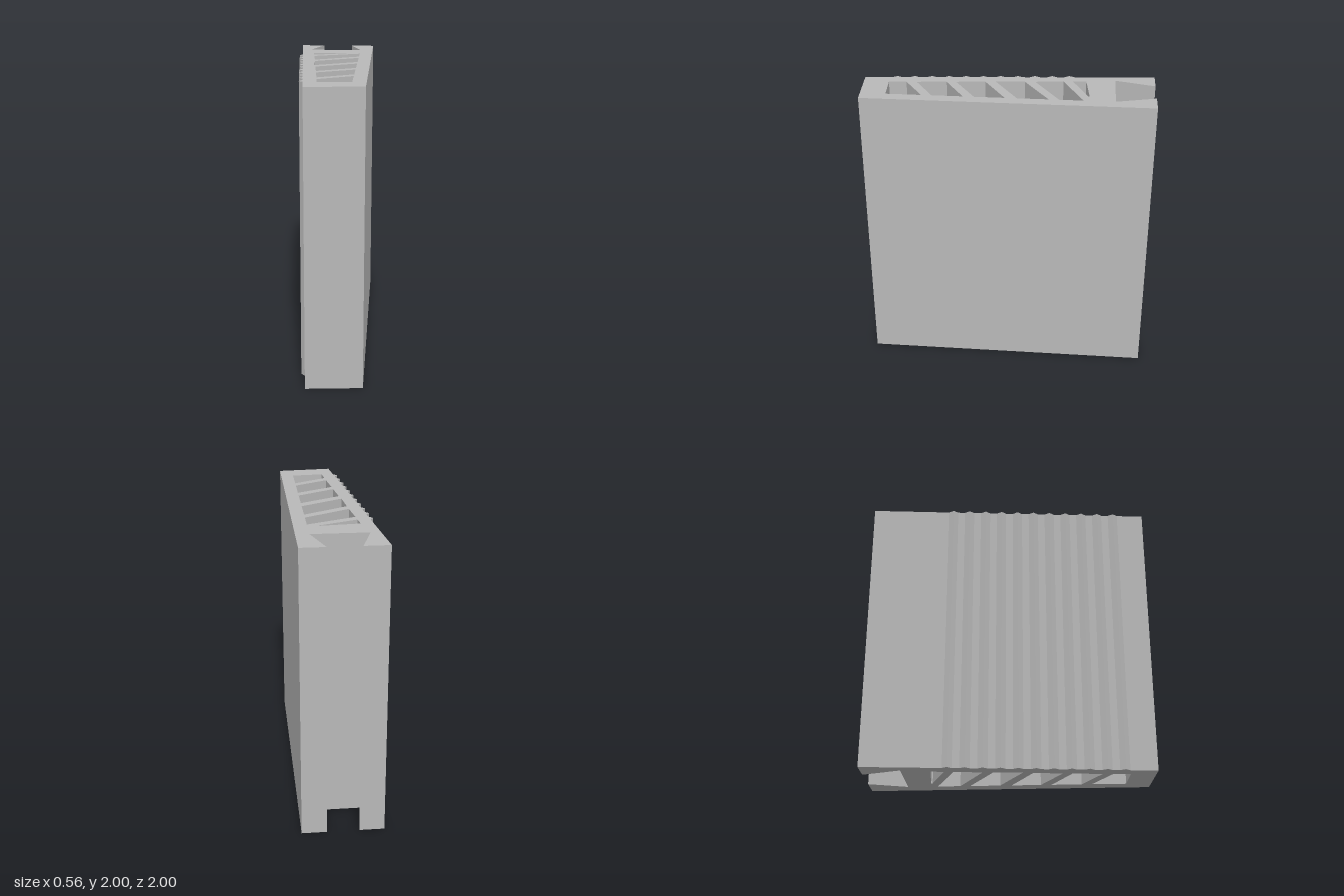
import * as THREE from 'three';

// Plan coordinates are [x, z]; shape y is -z so the extrusion can be stood upright.
const toPoints = (pts) => pts.map(([x, z]) => new THREE.Vector2(x, -z));

export function createModel() {
  const group = new THREE.Group();
  const grey = new THREE.MeshStandardMaterial({ color: 0xb8b8b8 });
  grey.name = 'grey';

  // Outer profile with the dovetail slot at the back
  const outline = [
    [-0.1, 1], [0.28, 0.965], [0.28, -1], [0.11, -1],
    [0.19, -0.73], [-0.19, -0.73], [-0.11, -1], [-0.28, -1],
  ];

  // Grip ridges along the slanted side
  const sideX = (z) => -0.19 + 0.09 * z;
  for (let i = 0; i < 11; i++) {
    const z = -0.41 + i * 0.119;
    outline.push([sideX(z - 0.037), z - 0.037]);
    outline.push([sideX(z) - 0.024, z]);
    outline.push([sideX(z + 0.032), z + 0.032]);
  }

  // Hollow chambers between the slanted webs
  const chambers = [
    [[-0.155, -0.53], [0.115, -0.558], [0.115, -0.548], [-0.145, -0.44]],
    [[-0.14, -0.375], [0.19, -0.52], [0.19, -0.36], [-0.12, -0.18]],
    [[-0.115, -0.11], [0.19, -0.29], [0.19, -0.08], [-0.1, 0.09]],
    [[-0.09, 0.16], [0.19, 0], [0.19, 0.205], [-0.07, 0.36]],
    [[-0.065, 0.425], [0.19, 0.28], [0.19, 0.49], [-0.045, 0.63]],
    [[-0.04, 0.7], [0.19, 0.56], [0.19, 0.8], [-0.03, 0.82]],
  ];

  const shape = new THREE.Shape(toPoints(outline));
  shape.holes = chambers.map((c) => new THREE.Path(toPoints(c)));

  const geometry = new THREE.ExtrudeGeometry(shape, { depth: 2, bevelEnabled: false });
  geometry.rotateX(-Math.PI / 2);

  const panel = new THREE.Mesh(geometry, grey);
  panel.name = 'ribbedHollowPanel';
  group.add(panel);
  return group;
}
